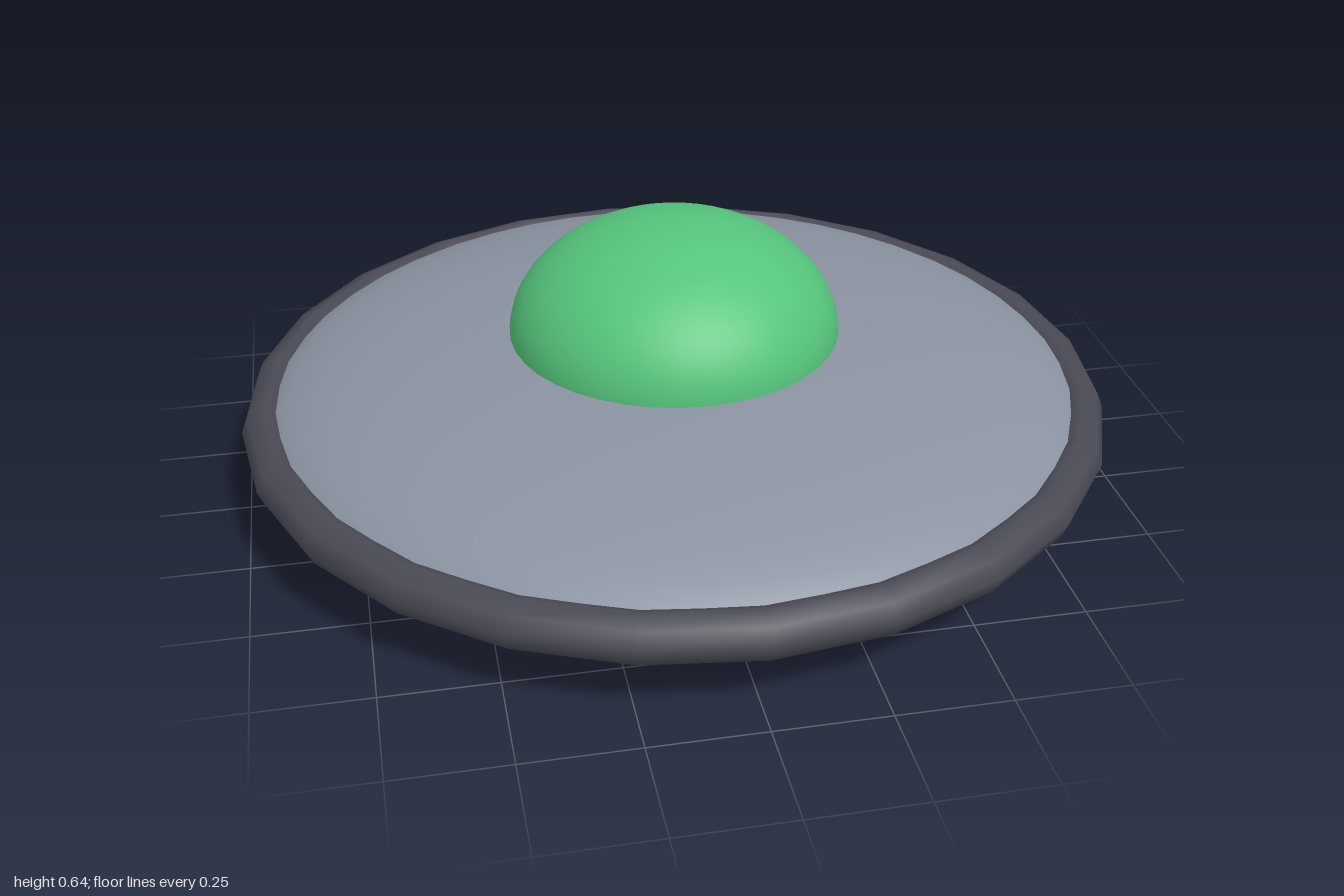
import * as THREE from 'three';

const mat = (name, color) => {
  const m = new THREE.MeshStandardMaterial({ color });
  m.name = name;
  return m;
};

export function createModel() {
  const hullGrey = mat('hull grey', 0x8a92a0);
  const rimGrey = mat('dark rim grey', 0x4a4a55);
  const domeGreen = mat('dome green', 0x55c47c);
  const lampRed = mat('lamp red', 0xff4422);

  const group = new THREE.Group();
  group.name = 'flyingSaucer';

  const add = (name, geometry, material, x, y, z) => {
    const mesh = new THREE.Mesh(geometry, material);
    mesh.name = name;
    mesh.position.set(x, y, z);
    group.add(mesh);
    return mesh;
  };

  // Flattened disc hull
  const hull = new THREE.SphereGeometry(1, 48, 32).scale(0.95, 0.197, 0.95);
  add('hull', hull, hullGrey, 0, 0.197, 0);

  // Bumper ring, 24 straight sections with an octagonal cross-section
  const rim = new THREE.TorusGeometry(0.945, 0.055, 8, 24).rotateX(Math.PI / 2);
  add('rim', rim, rimGrey, 0, 0.2, 0);

  // Cockpit dome, a squashed hemisphere
  const dome = new THREE.SphereGeometry(0.38, 40, 16, 0, Math.PI * 2, 0, Math.PI / 2).scale(1, 0.7, 1);
  add('dome', dome, domeGreen, 0, 0.373, 0);

  // Eight lamps half sunk into the underside
  const lamp = new THREE.SphereGeometry(0.05, 16, 12).scale(1, 0.4, 1);
  for (let i = 0; i < 8; i++) {
    const a = (i / 8) * Math.PI * 2;
    add(`lamp${i + 1}`, lamp, lampRed, Math.cos(a) * 0.79, 0.09, Math.sin(a) * 0.79);
  }

  return group;
}
